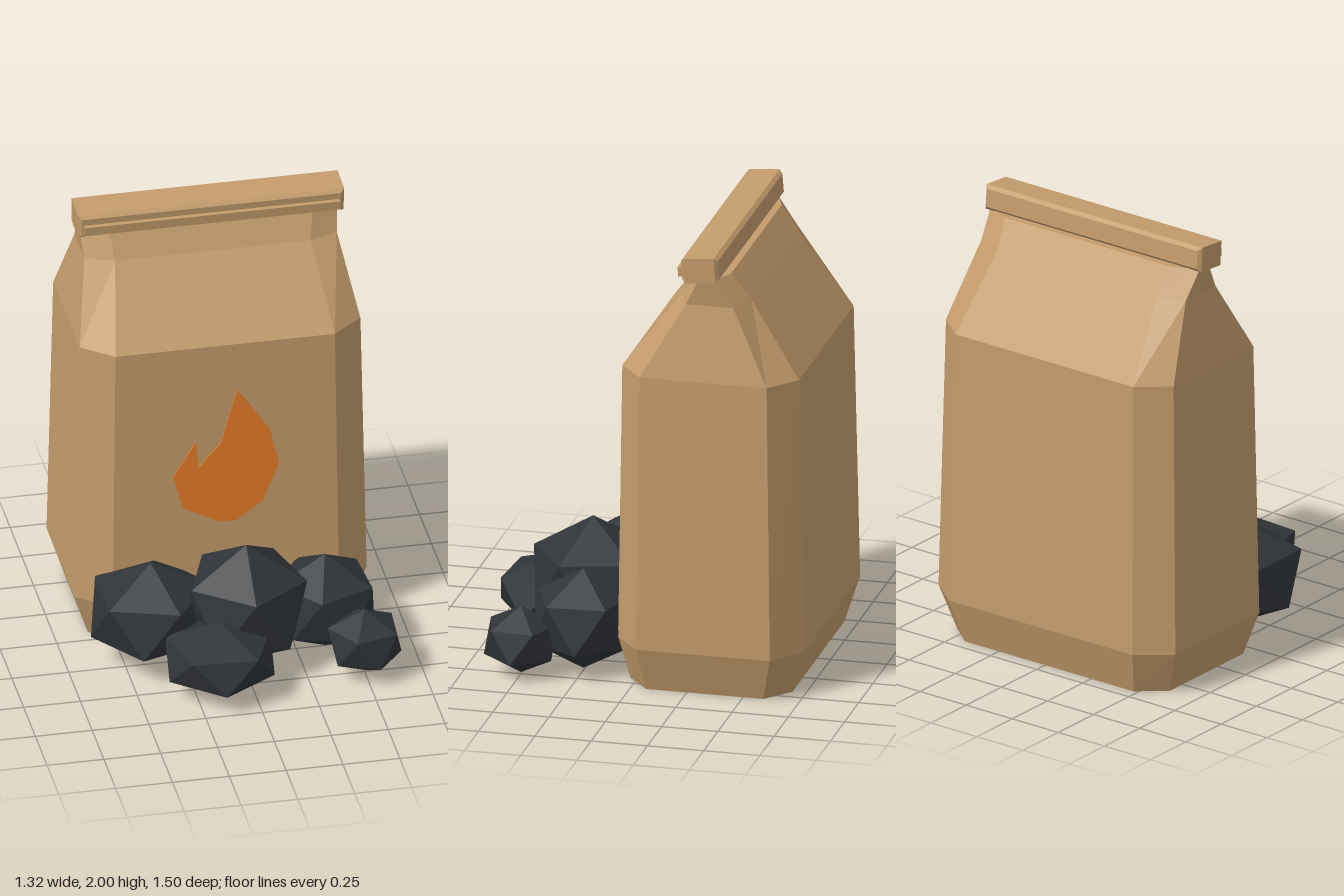
import * as THREE from 'three';

const paper = new THREE.MeshStandardMaterial({ color: 0xc49c6c, flatShading: true });
const coal = new THREE.MeshStandardMaterial({ color: 0x303438, flatShading: true });
const orange = new THREE.MeshStandardMaterial({ color: 0xe67e28, flatShading: true });

// Chamfered rectangle at height y, counter-clockwise from above
function ring([y, x0, x1, zb, zf, cx, cz]) {
  return [
    [x1, y, zf - cz], [x1, y, zb + cz], [x1 - cx, y, zb], [x0 + cx, y, zb],
    [x0, y, zb + cz], [x0, y, zf - cz], [x0 + cx, y, zf], [x1 - cx, y, zf],
  ];
}

// Closed skin through a stack of rings
function loft(rows) {
  const rings = rows.map(ring);
  const pos = [];
  const tri = (...points) => points.forEach((p) => pos.push(...p));
  for (let r = 0; r < rings.length - 1; r++) {
    const low = rings[r], high = rings[r + 1];
    for (let i = 0; i < 8; i++) {
      const j = (i + 1) % 8;
      tri(low[i], low[j], high[j]);
      tri(low[i], high[j], high[i]);
    }
  }
  const bottom = rings[0], top = rings[rings.length - 1];
  for (let i = 1; i < 7; i++) {
    tri(bottom[0], bottom[i + 1], bottom[i]);
    tri(top[0], top[i], top[i + 1]);
  }
  const geo = new THREE.BufferGeometry();
  geo.setAttribute('position', new THREE.Float32BufferAttribute(pos, 3));
  geo.computeVertexNormals();
  return geo;
}

// Icosahedron standing on a corner: ring radius r, half height h, turned so a corner points to deg
function lumpGeometry(r, h, deg) {
  const geo = new THREE.IcosahedronGeometry(1, 0);
  geo.rotateZ(Math.atan(2 / (1 + Math.sqrt(5))));
  geo.rotateY(THREE.MathUtils.degToRad(36 - deg));
  geo.scale(r / 0.894, h, r / 0.894);
  return geo;
}

export function createModel() {
  const model = new THREE.Group();
  const add = (parent, name, geo, mat, x = 0, y = 0, z = 0) => {
    const mesh = new THREE.Mesh(geo, mat);
    mesh.name = name;
    mesh.position.set(x, y, z);
    parent.add(mesh);
    return mesh;
  };

  // Paper bag: y, x range, z range, chamfer in x and z
  add(model, 'bag', loft([
    [0, -0.6, 0.555, -0.69, 0.03, 0.12, 0.1],
    [0.2, -0.665, 0.62, -0.75, 0.075, 0.145, 0.115],
    [1.44, -0.64, 0.595, -0.725, 0.06, 0.135, 0.11],
    [1.77, -0.58, 0.53, -0.5, -0.19, 0.125, 0.05],
    [1.89, -0.59, 0.545, -0.415, -0.25, 0.12, 0.05],
  ]), paper);

  // Rolled top, tipped slightly forward
  const fold = new THREE.Group();
  fold.name = 'foldedTop';
  fold.position.set(-0.024, 1.937, -0.307);
  fold.rotation.x = 0.08;
  model.add(fold);
  const w = 0.57, h = 0.041, bevel = 0.015;
  const rect = new THREE.Shape([
    new THREE.Vector2(-w, -h), new THREE.Vector2(w, -h),
    new THREE.Vector2(w, h), new THREE.Vector2(-w, h),
  ]);
  const roll = new THREE.ExtrudeGeometry(rect, {
    depth: 0.135, bevelThickness: bevel, bevelSize: bevel, bevelSegments: 1,
  });
  add(fold, 'roll', roll.translate(0, 0, -0.0675), paper);
  add(fold, 'frontStrip', new THREE.BoxGeometry(1.125, 0.042, 0.03), paper, 0, -0.01, 0.087);

  // Flame emblem on the front
  const flame = new THREE.Shape([
    [0.025, 1.225], [-0.045, 0.97], [-0.145, 0.855], [-0.155, 0.985],
    [-0.255, 0.82], [-0.215, 0.66], [-0.05, 0.575], [0.025, 0.575],
    [0.14, 0.66], [0.21, 0.84], [0.17, 1.01],
  ].map(([x, y]) => new THREE.Vector2(x, y)));
  add(model, 'flame', new THREE.ExtrudeGeometry(flame, { depth: 0.006, bevelEnabled: false }),
    orange, 0, 0, 0.078);

  // Coal lumps: x, y, z, ring radius, half height, turn
  const pile = new THREE.Group();
  pile.name = 'coalPile';
  model.add(pile);
  [
    [0.02, 0.29, 0.3, 0.265, 0.285, 20],
    [-0.38, 0.24, 0.2, 0.262, 0.235, 0],
    [-0.14, 0.167, 0.515, 0.24, 0.163, 58],
    [0.375, 0.233, 0.255, 0.22, 0.228, 32],
    [0.5, 0.16, 0.5, 0.16, 0.152, 40],
  ].forEach(([x, y, z, r, half, deg], i) =>
    add(pile, `coalLump${i + 1}`, lumpGeometry(r, half, deg), coal, x, y, z));

  return model;
}
